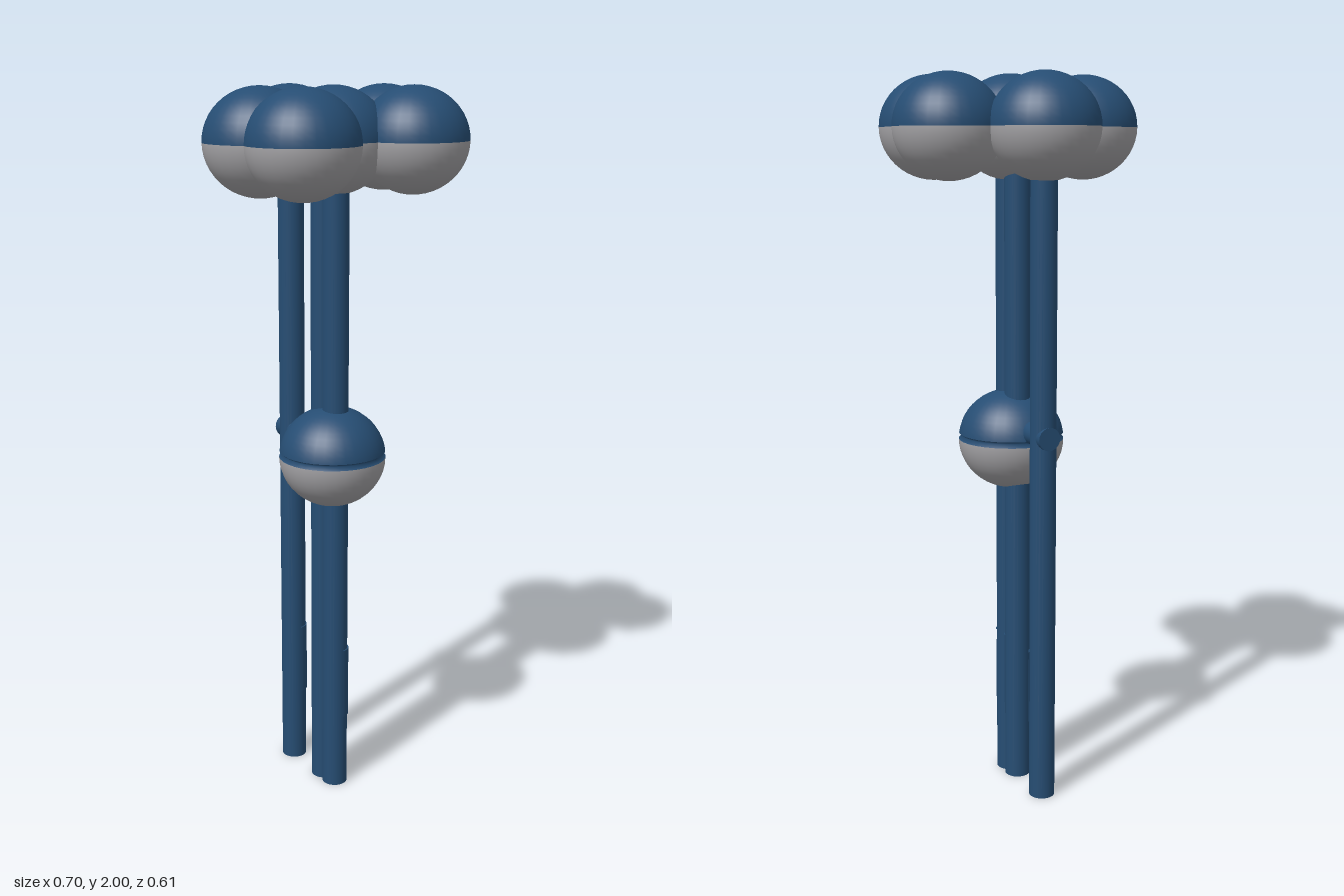
import * as THREE from 'three';

const blue = new THREE.MeshStandardMaterial({ color: 0x264d73 });
blue.name = 'navy blue';
const grey = new THREE.MeshStandardMaterial({ color: 0xa3a2a5 });
grey.name = 'pale grey';

const POLE_RADIUS = 0.036;
const BALL_RADIUS = 0.148;
const BALL_HALF_HEIGHT = 0.14;

function add(parent, name, geometry, material, x = 0, y = 0, z = 0) {
  const mesh = new THREE.Mesh(geometry, material);
  mesh.name = name;
  mesh.position.set(x, y, z);
  parent.add(mesh);
  return mesh;
}

// Two-tone ball: blue upper half, grey lower half
function ball(name, x, y, z) {
  const group = new THREE.Group();
  group.name = name;
  const half = (start) => new THREE.SphereGeometry(BALL_RADIUS, 32, 12, 0, Math.PI * 2, start, Math.PI / 2);
  add(group, 'upperHalf', half(0), blue);
  add(group, 'lowerHalf', half(Math.PI / 2), grey);
  group.scale.y = BALL_HALF_HEIGHT / BALL_RADIUS;
  group.position.set(x, y, z);
  return group;
}

export function createModel() {
  const model = new THREE.Group();
  model.name = 'lampCluster';

  // Three poles in a row, each with a curved access panel near the foot
  const poleHeight = 1.86;
  const panelHeight = 0.21;
  for (const z of [0.054, 0, -0.153]) {
    add(model, 'pole', new THREE.CylinderGeometry(POLE_RADIUS, POLE_RADIUS, poleHeight, 24),
      blue, 0, poleHeight / 2, z);
    const r = POLE_RADIUS + 0.003;
    const panel = new THREE.Group();
    panel.name = 'accessPanel';
    panel.position.set(0, 0.325, z);
    add(panel, 'panelFace', new THREE.CylinderGeometry(r, r, panelHeight, 10, 1, true, 0, 1.35), blue);
    // Rims closing the panel down to the pole
    for (const side of [1, -1]) {
      const rim = add(panel, 'panelRim',
        new THREE.RingGeometry(POLE_RADIUS - 0.002, r, 10, 1, Math.PI / 2 - 1.35, 1.35),
        blue, 0, side * panelHeight / 2, 0);
      rim.rotation.x = -side * Math.PI / 2;
      // The ring's sector must face +z on both ends
      if (side === 1) rim.scale.y = -1;
    }
    model.add(panel);
  }

  // Heads at the top: one in the middle, five around it
  const headY = 1.859;
  model.add(ball('middleHead', 0, headY, 0.042));
  model.add(ball('backHead', 0, headY, -0.156));
  for (const side of [1, -1]) {
    model.add(ball('sideHead', side * 0.201, headY, 0));
    model.add(ball('frontHead', side * 0.177, headY, 0.154));
  }

  // Ball halfway up, with a narrow shadow groove above the seam
  const lower = new THREE.Group();
  lower.name = 'middleBall';
  lower.position.set(0, 1.004, 0.04);
  add(lower, 'lowerHalf', new THREE.SphereGeometry(BALL_RADIUS, 32, 12, 0, Math.PI * 2, Math.PI / 2, Math.PI / 2), grey)
    .scale.y = BALL_HALF_HEIGHT / BALL_RADIUS;
  add(lower, 'upperHalf', new THREE.SphereGeometry(BALL_RADIUS, 32, 12, 0, Math.PI * 2, 0, 1.45), blue)
    .scale.y = BALL_HALF_HEIGHT / BALL_RADIUS;
  const lip = BALL_RADIUS * Math.sin(1.45);
  const lipY = BALL_HALF_HEIGHT * Math.cos(1.45);
  const groove = [[BALL_RADIUS, 0], [lip - 0.01, 0.009], [lip, lipY]];
  add(lower, 'groove', new THREE.LatheGeometry(groove.map(([x, y]) => new THREE.Vector2(x, y)), 32), blue);
  model.add(lower);

  // Short round arm holding the ball to the rear pole
  const arm = add(model, 'arm', new THREE.CylinderGeometry(0.032, 0.032, 0.21, 20), blue, 0, 1.042, -0.086);
  arm.rotation.x = Math.PI / 2;

  return model;
}
